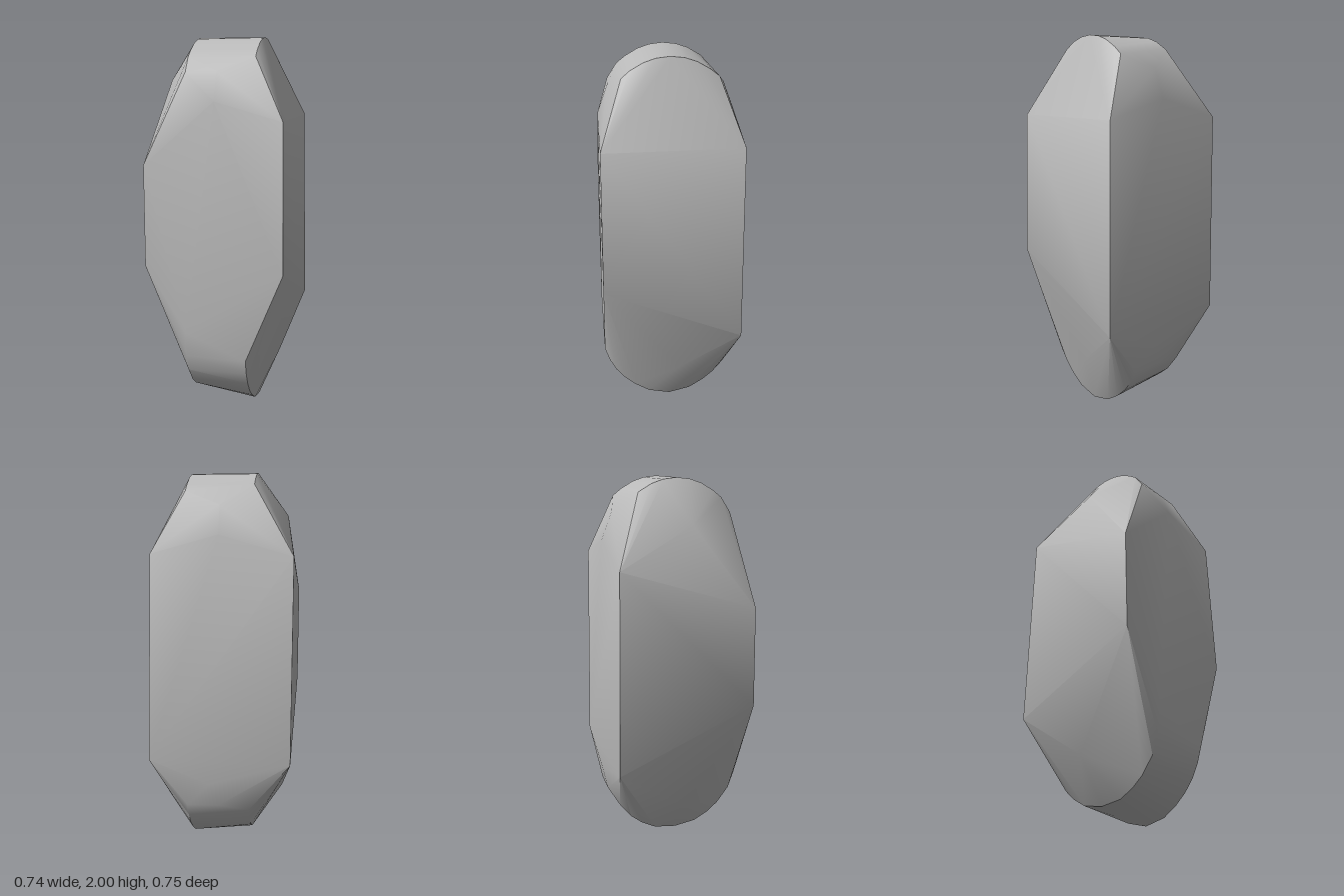
import * as THREE from 'three';
import { toCreasedNormals } from 'three/addons/utils/BufferGeometryUtils.js';
import { ConvexGeometry } from 'three/addons/geometries/ConvexGeometry.js';

// Places a rounded end profile, given as [z, y] pairs, at one x
const arc = (x, profile) => profile.map(([z, y]) => new THREE.Vector3(x, y, z));

export function createModel() {
  const stoneGrey = new THREE.MeshStandardMaterial({ color: 0xbababa });

  // Rounded top, ending in a rim at each side
  const topLeft = arc(0.183, [
    [-0.24, 1.9], [-0.195, 1.935], [-0.13, 1.972], [-0.07, 1.992], [0, 2],
    [0.07, 1.992], [0.13, 1.972], [0.195, 1.935], [0.235, 1.9],
  ]);
  const topRight = arc(-0.162, [
    [-0.2, 1.932], [-0.13, 1.972], [-0.07, 1.992], [0, 2],
    [0.07, 1.992], [0.13, 1.972], [0.195, 1.935], [0.24, 1.9], [0.29, 1.825],
  ]);

  // Rounded bottom, slightly raised on the right
  const bottomLeft = arc(0.17, [
    [-0.345, 0.27], [-0.31, 0.2], [-0.26, 0.135], [-0.2, 0.08], [-0.12, 0.028], [0, 0],
    [0.12, 0.028], [0.2, 0.08], [0.26, 0.135], [0.31, 0.2], [0.345, 0.27], [0.37, 0.35],
  ]);
  const bottomRight = arc(-0.155, [
    [-0.325, 0.25], [-0.26, 0.165], [-0.2, 0.115], [-0.12, 0.072], [0, 0.055],
    [0.12, 0.072], [0.2, 0.115], [0.26, 0.165], [0.325, 0.25], [0.36, 0.35], [0.373, 0.48],
  ]);

  // Ends of the four upright edges
  const corners = [
    [0.345, 1.59, 0.35], [0.36, 0.83, 0.365],
    [0.345, 1.59, -0.35], [0.368, 0.52, -0.372],
    [-0.373, 1.36, 0.355], [-0.373, 0.83, 0.365],
    [-0.373, 1.58, -0.355], [-0.373, 0.525, -0.374],
  ];

  // Soft bulges on the shoulders and the tapered sides
  const bulges = [
    [0, 1.685, 0.35], [0, 1.83, 0.295], [0, 1.685, -0.352], [0, 1.83, -0.295],
    [0.05, 0.4, -0.373], [0, 0.28, -0.353],
    [-0.322, 1.78, 0.03], [-0.312, 0.28, 0], [0.28, 0.27, -0.05],
  ];

  const points = [
    ...topLeft, ...topRight, ...bottomLeft, ...bottomRight,
    ...[...corners, ...bulges].map((p) => new THREE.Vector3(...p)),
  ];

  const geometry = toCreasedNormals(new ConvexGeometry(points), THREE.MathUtils.degToRad(35));
  const stone = new THREE.Mesh(geometry, stoneGrey);
  stone.name = 'stone';

  const model = new THREE.Group();
  model.name = 'facetedStone';
  model.add(stone);
  return model;
}
